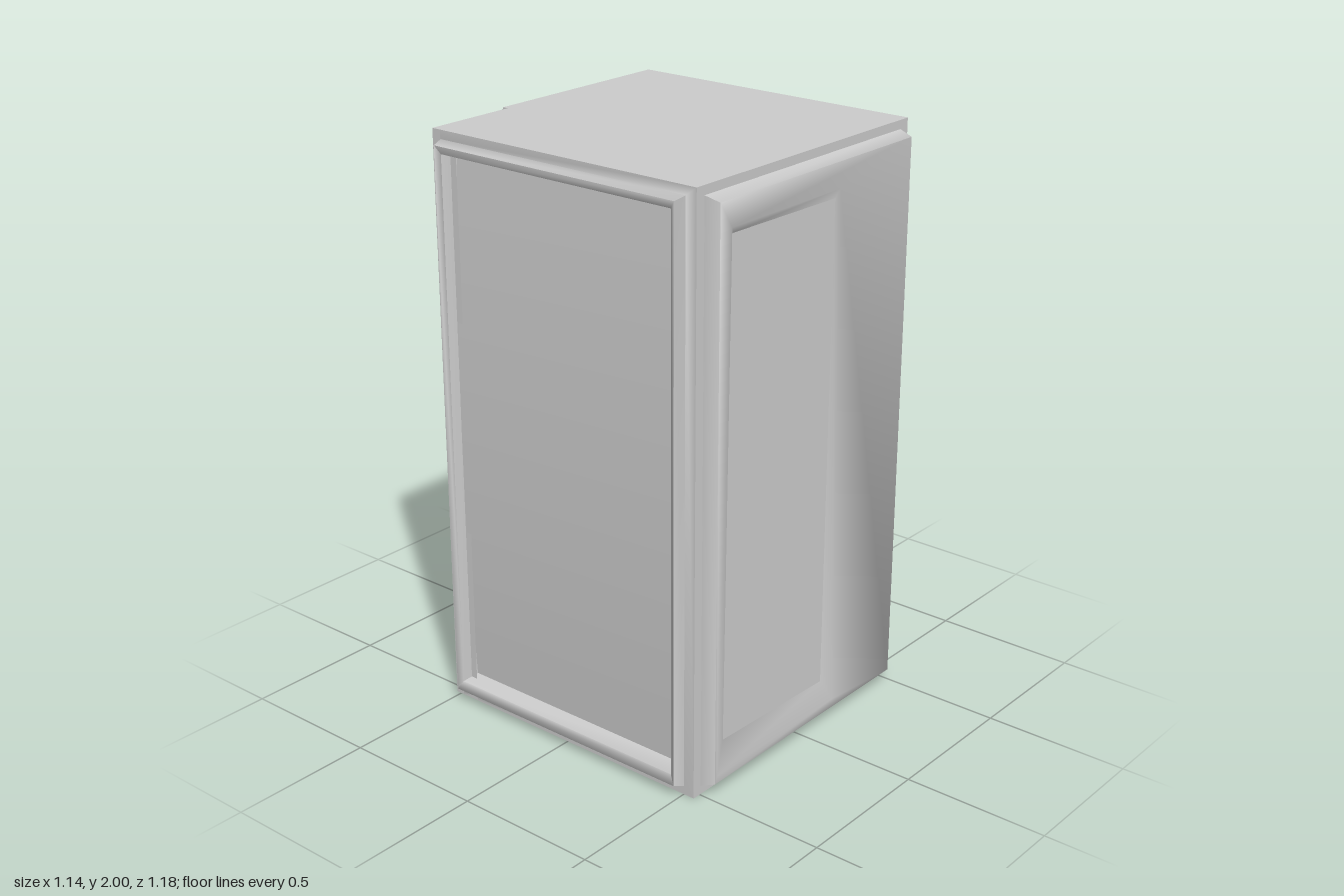
import * as THREE from 'three';
import { toCreasedNormals } from 'three/addons/utils/BufferGeometryUtils.js';

const material = new THREE.MeshStandardMaterial({ color: 0xcccccc });

// Mesh with softened slopes and sharp right-angled edges
function mesh(geometry, name) {
  const m = new THREE.Mesh(toCreasedNormals(geometry, 1.4), material);
  m.name = name;
  return m;
}

function fromTriangles(points) {
  const g = new THREE.BufferGeometry();
  g.setAttribute('position', new THREE.Float32BufferAttribute(points.flat(), 3));
  return g;
}

// Rectangle as four corners, counter-clockwise seen from outside
const rect = (u0, u1, v0, v1, d) => [[u0, v0, d], [u1, v0, d], [u1, v1, d], [u0, v1, d]];

// Joins four-cornered rings in order and optionally closes the last one
function loft(rings, cap = true) {
  const p = [];
  for (let k = 0; k + 1 < rings.length; k++) {
    const a = rings[k], b = rings[k + 1];
    for (let i = 0; i < 4; i++) {
      const j = (i + 1) % 4;
      p.push(a[i], a[j], b[j], a[i], b[j], b[i]);
    }
  }
  const e = rings[rings.length - 1];
  if (cap) p.push(e[0], e[1], e[2], e[0], e[2], e[3]);
  return fromTriangles(p);
}

// Curved sheet over a grid of lines, with optional skipped cells
function sheet(us, vs, depth, skip = () => false) {
  const p = [], at = (u, v) => [u, v, depth(u, v)];
  for (let i = 0; i + 1 < us.length; i++) for (let j = 0; j + 1 < vs.length; j++) {
    if (skip((us[i] + us[i + 1]) / 2, (vs[j] + vs[j + 1]) / 2)) continue;
    const a = at(us[i], vs[j]), b = at(us[i + 1], vs[j]);
    const c = at(us[i + 1], vs[j + 1]), d = at(us[i], vs[j + 1]);
    p.push(a, b, c, a, c, d);
  }
  return fromTriangles(p);
}

const steps = (a, b, n) => Array.from({ length: n + 1 }, (_, i) => a + (b - a) * i / n);
// 1 in the middle of a span, 0 at both ends
const bow = (t, a, b) => 1 - ((2 * t - a - b) / (b - a)) ** 2;

// Prism across u from a profile of [depth, height] points
function prism(profile, u0, u1) {
  const shape = new THREE.Shape(profile.map(([d, v]) => new THREE.Vector2(-d, v)));
  const g = new THREE.ExtrudeGeometry(shape, { depth: u1 - u0, bevelEnabled: false });
  return g.rotateY(Math.PI / 2).translate(u0, 0, 0);
}

// Raised rim with a recessed panel that bows outward at mid height
function sidePanel(sign) {
  const group = new THREE.Group();
  group.name = sign > 0 ? 'leftSide' : 'rightSide';
  const r = (a, b, v0, v1, d) => sign > 0 ? rect(a, b, v0, v1, d) : rect(-b, -a, v0, v1, d);
  const wall = r(-0.54, 0.487, 0, 2, 0.53);
  group.add(mesh(loft([r(-0.54, 0.487, 0, 2, 0.48), wall], false), 'sideWall'));
  group.add(mesh(loft([
    wall, r(-0.5, 0.485, 0.03, 1.97, 0.53), r(-0.49, 0.475, 0.045, 1.96, 0.57),
    r(-0.475, 0.45, 0.08, 1.935, 0.565), r(-0.47, 0.44, 0.09, 1.92, 0.5),
  ], false), 'sideRim'));
  const ends = sign > 0 ? [-0.47, 0.44] : [-0.44, 0.47];
  group.add(mesh(sheet(ends, steps(0.09, 1.92, 16),
    (u, v) => 0.505 + 0.03 * bow(v, 0.09, 1.92)), 'sideSheet'));
  group.rotation.y = sign * Math.PI / 2;
  return group;
}

// Flat raised plate with a shallow tapered recess around a panel
function frontPlate() {
  const group = new THREE.Group();
  group.name = 'frontPlate';
  const panel = [[-0.413, 0.17, 0.563], [0.088, 0.17, 0.58], [0.088, 1.84, 0.58], [-0.413, 1.84, 0.563]];
  group.add(mesh(loft([
    rect(-0.495, 0.49, 0.03, 1.97, 0.54),
    rect(-0.485, 0.48, 0.05, 1.955, 0.59),
    [[-0.475, 0.075, 0.59], [0.145, 0.08, 0.59], [0.1, 1.87, 0.59], [-0.43, 1.87, 0.59]],
    panel,
  ], false), 'plateSurround'));
  group.add(mesh(loft([panel]), 'recessedFrontPanel'));
  return group;
}

// Serving face, built facing +z and turned to the back
function servingFace() {
  const group = new THREE.Group();
  group.name = 'servingFace';

  // Door frame, bowed door and delivery slot
  const wall = rect(-0.53, 0.195, 0, 2, 0.54);
  group.add(mesh(loft([rect(-0.53, 0.195, 0, 2, 0.42), wall], false), 'doorWall'));
  group.add(mesh(loft([
    wall, rect(-0.52, 0.187, 0.025, 1.98, 0.552), rect(-0.495, 0.175, 0.045, 1.965, 0.552),
    rect(-0.48, 0.16, 0.06, 1.95, 0.455),
  ], false), 'doorFrame'));
  group.add(mesh(sheet(steps(-0.48, 0.16, 20), [0.06, 0.465, 0.645, 1.95],
    u => 0.47 + 0.045 * bow(u, -0.48, 0.16),
    (u, v) => u > -0.352 && u < 0.032 && v > 0.465 && v < 0.645), 'door'));
  group.add(mesh(loft([
    rect(-0.366, 0.04, 0.455, 0.655, 0.48), rect(-0.36, 0.034, 0.465, 0.645, 0.518),
    rect(-0.325, 0.0, 0.495, 0.62, 0.513), rect(-0.315, -0.01, 0.505, 0.61, 0.495),
    [[-0.295, 0.51, 0.445], [-0.03, 0.51, 0.445], [-0.03, 0.595, 0.485], [-0.295, 0.595, 0.485]],
  ]), 'deliverySlot'));

  // Control column with an upright panel bowed at mid height
  group.add(mesh(loft([
    rect(0.195, 0.53, 0, 2, 0.42), rect(0.195, 0.53, 0, 2, 0.52),
  ]), 'controlColumn'));
  group.add(mesh(loft([
    rect(0.237, 0.493, 0.04, 1.965, 0.52), rect(0.242, 0.488, 0.05, 1.955, 0.55),
    rect(0.25, 0.48, 0.065, 1.94, 0.55), rect(0.252, 0.478, 0.07, 1.935, 0.53),
  ], false), 'controlPanelRim'));
  group.add(mesh(sheet([0.252, 0.478], steps(0.07, 1.935, 12),
    (u, v) => 0.535 + 0.018 * bow(v, 0.07, 1.935)), 'controlPanel'));

  // Scooped hood with the coin unit below it
  group.add(mesh(prism([
    [0.53, 1.46], [0.556, 1.47], [0.57, 1.5], [0.572, 1.56], [0.565, 1.59],
    [0.553, 1.62], [0.549, 1.68], [0.552, 1.74], [0.556, 1.77], [0.53, 1.77],
  ], 0.265, 0.478), 'coinHood'));
  group.add(mesh(prism([
    [0.56, 1.485], [0.578, 1.49], [0.593, 1.59], [0.575, 1.605], [0.555, 1.605],
  ], 0.28, 0.37), 'coinUnit'));

  // Selection buttons
  for (let i = 0; i < 10; i++) {
    const y = 1.415 - i * 0.092;
    group.add(mesh(prism([
      [0.53, y - 0.036], [0.55, y - 0.036], [0.558, y - 0.015],
      [0.561, y + 0.015], [0.558, y + 0.034], [0.53, y + 0.038],
    ], 0.28, 0.432), 'selectionButton'));
  }
  group.rotation.y = Math.PI;
  return group;
}

export function createModel() {
  const model = new THREE.Group();
  model.name = 'vendingMachine';
  const cabinet = mesh(new THREE.BoxGeometry(0.96, 2, 0.96), 'cabinet');
  cabinet.position.set(0, 1, 0.06);
  model.add(cabinet, sidePanel(1), sidePanel(-1), frontPlate(), servingFace());
  return model;
}
